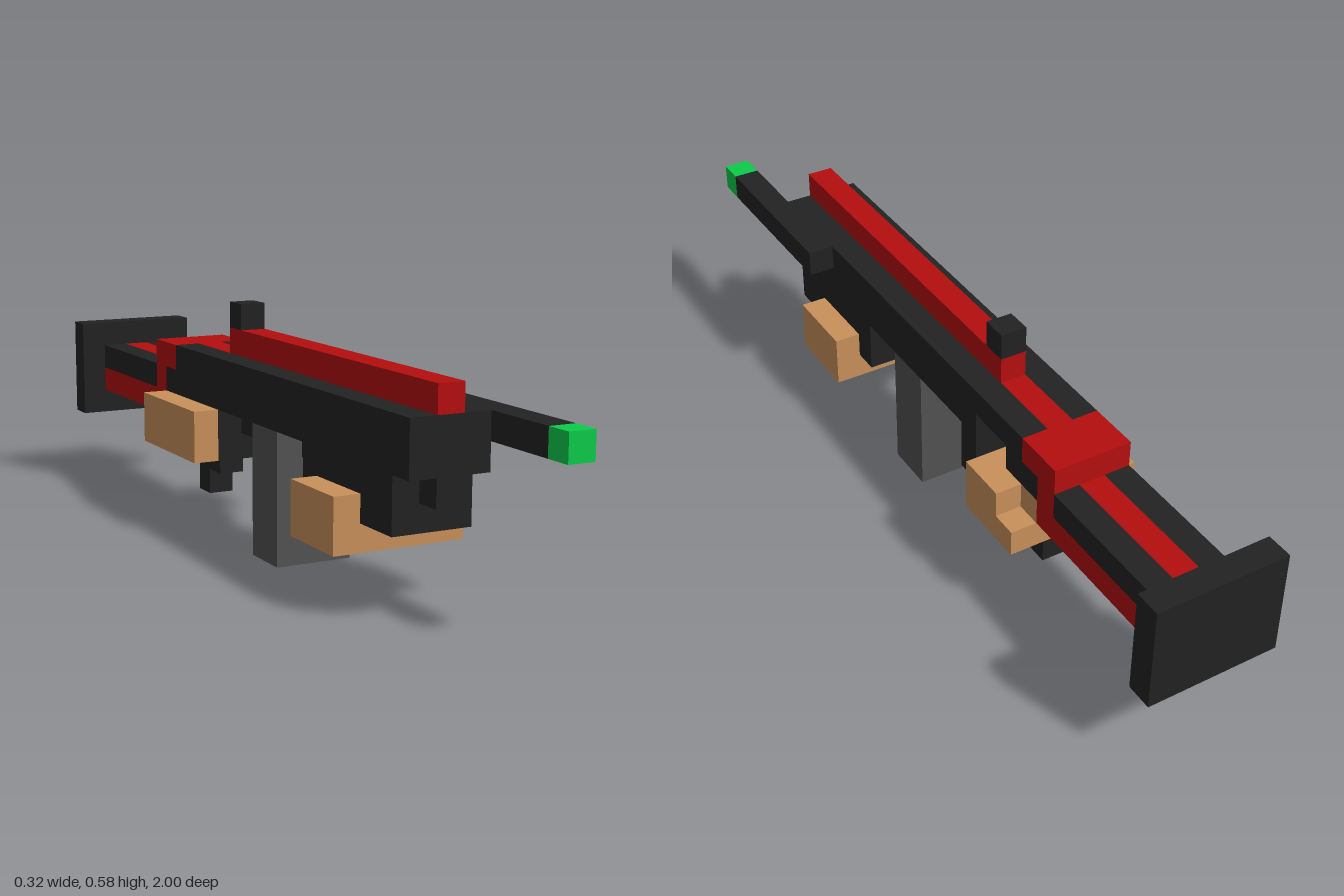
import * as THREE from 'three';

// One block unit; the model is 31 blocks long.
const U = 2 / 31;

export function createModel() {
  const group = new THREE.Group();
  group.name = 'blockRifle';

  const mat = (name, color) => {
    const m = new THREE.MeshStandardMaterial({ color });
    m.name = name;
    return m;
  };
  const black = mat('black', 0x222222);
  const red = mat('red', 0xb50e0e);
  const tan = mat('tan', 0xc8905a);
  const grey = mat('grey', 0x525252);
  const green = mat('green', 0x0dcc4a);

  // Box from block ranges: x about the centre, y from the ground, z from the back.
  const block = (name, material, [x0, x1], [y0, y1], [z0, z1]) => {
    const mesh = new THREE.Mesh(
      new THREE.BoxGeometry((x1 - x0) * U, (y1 - y0) * U, (z1 - z0) * U), material);
    mesh.position.set((x0 + x1) / 2 * U, (y0 + y1) / 2 * U, -1 + (z0 + z1) / 2 * U);
    mesh.name = name;
    group.add(mesh);
  };
  const full = [-1.5, 1.5], core = [-0.5, 0.5], wide = [-2.5, 2.5];
  const sides = [[-1.5, -0.5], [0.5, 1.5]];

  // Stock
  block('buttPlate', black, wide, [3, 7], [0, 1]);
  block('stockLower', red, full, [4, 5], [1, 7]);
  block('stockStripe', red, core, [5, 6], [1, 7]);
  for (const s of sides) block('stockRail', black, s, [5, 6], [1, 7]);
  block('rearCollar', red, full, [4, 6], [7, 8]);
  block('rearCap', red, full, [6, 7], [7, 9]);

  // Receiver and body
  block('receiverStripe', red, core, [6, 7], [9, 12]);
  for (const s of sides) block('receiverTop', black, s, [6, 7], [9, 12]);
  block('receiverRear', black, full, [5, 6], [8, 10]);
  block('receiverPort', black, [-1.5, 0.5], [5, 6], [10, 12]);
  block('receiverFront', black, full, [5, 6], [12, 13]);
  block('bodyTop', black, full, [6, 7], [12, 27]);
  block('body', black, full, [5, 6], [13, 27]);
  block('bodyKeel', black, core, [4, 5], [13, 16]);
  block('bodyKeel', black, core, [4, 5], [18, 20]);
  block('foreEnd', black, full, [3, 5], [20, 26]);
  block('muzzle', black, core, [4, 5], [26, 27]);

  // Top rail and sight
  block('topRail', red, core, [7, 8], [12, 27]);
  block('sight', black, core, [8, 9], [12, 13]);

  // Side barrel with coloured tip
  block('sideBarrel', black, [1.5, 2.5], [6, 7], [23, 30]);
  block('barrelTip', green, [1.5, 2.5], [6, 7], [30, 31]);

  // Magazine
  block('magazine', grey, full, [0, 5], [16, 18]);

  // Trigger guard and pistol grip
  block('guardPost', black, full, [3, 5], [12, 13]);
  block('guardFloor', black, full, [3, 4], [11, 12]);
  block('gripTop', black, core, [3, 5], [9, 11]);
  block('gripMiddle', black, core, [2, 3], [9, 11]);
  block('gripEnd', black, core, [1, 2], [9, 10]);

  // Rear hold wrapped around the grip
  block('rearHoldBack', tan, [-2.5, 1.5], [3, 5], [8, 9]);
  block('rearHoldStep', tan, [1.5, 2.5], [3, 4], [8, 9]);
  block('rearHoldLeft', tan, [0.5, 2.5], [3, 5], [9, 11]);
  block('rearHoldRight', tan, [-2.5, -0.5], [3, 5], [9, 11]);
  block('rearHoldFinger', tan, [-2.5, -1.5], [3, 5], [11, 13]);

  // Front hold cradling the fore-end
  block('frontHoldBase', tan, wide, [2, 3], [21, 24]);
  for (const s of [[-2.5, -1.5], [1.5, 2.5]]) block('frontHoldSide', tan, s, [3, 4], [21, 24]);

  return group;
}
